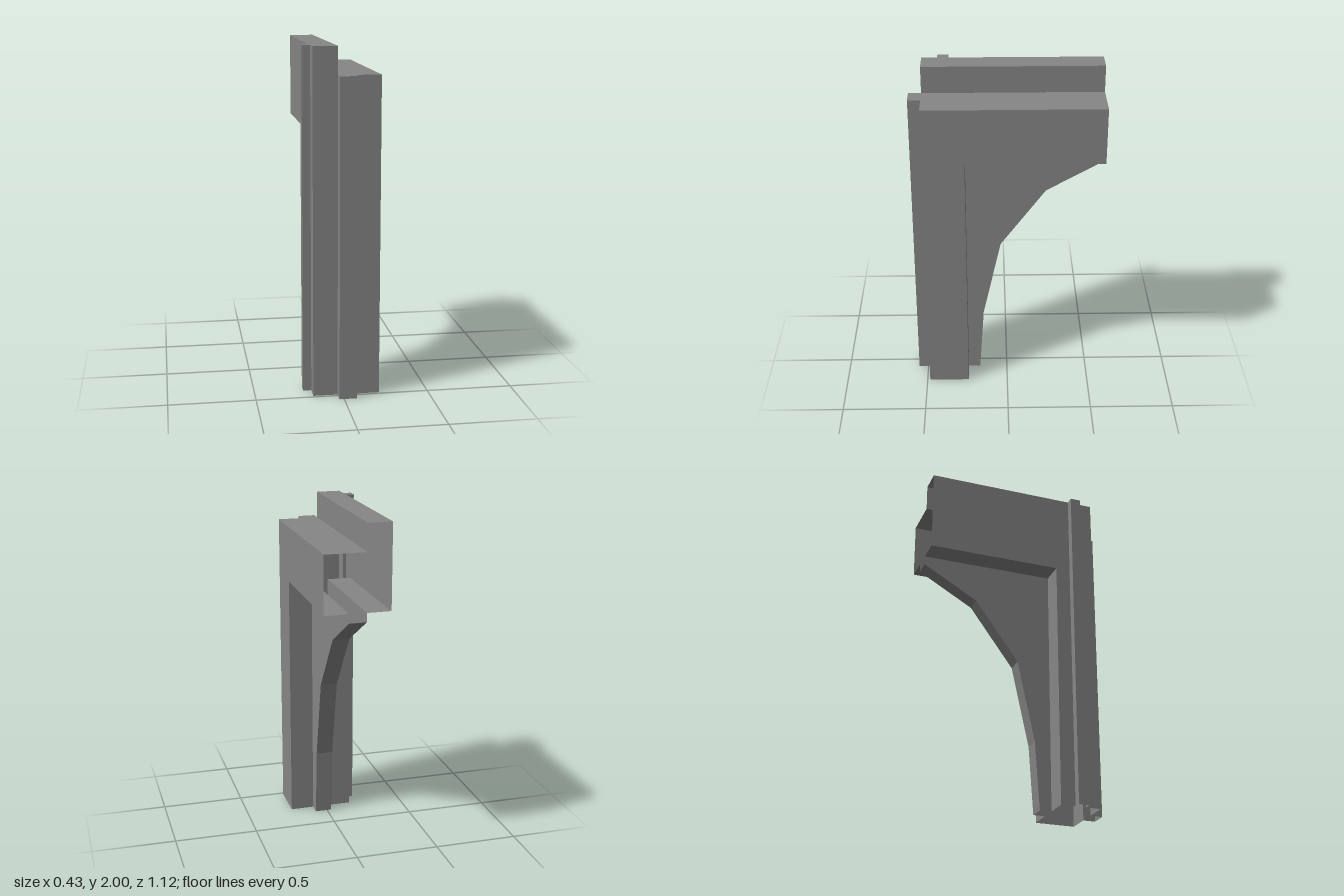
import * as THREE from 'three';

// Hollow half-arch frame: sheet surfaces, open at the back end and at the foot
const material = new THREE.MeshStandardMaterial({ color: 0x868686, flatShading: true, side: THREE.DoubleSide });

const X = { left: 0.216, ribL: 0.074, ribR: -0.027, right: -0.168, lip: -0.216 };
const Z = { back: -0.558, inner: 0.242, front: 0.484, rib: 0.558, lipBack: 0.33, lipFront: 0.394 };
const Y = { soffit: 1.506, ledge: 1.842, top: 2 };

// Strip of flat quads between two matching polylines
function ribbon(name, a, b) {
  const pos = [];
  for (let i = 0; i < a.length - 1; i++) {
    pos.push(...a[i], ...b[i + 1], ...b[i], ...a[i], ...a[i + 1], ...b[i + 1]);
  }
  const geo = new THREE.BufferGeometry();
  geo.setAttribute('position', new THREE.Float32BufferAttribute(pos, 3));
  geo.computeVertexNormals();
  const mesh = new THREE.Mesh(geo, material);
  mesh.name = name;
  return mesh;
}

// Vertical walls following a plan path of [x, z]
const walls = (name, path, top) =>
  ribbon(name, path.map(([x, z]) => [x, top, z]), path.map(([x, z]) => [x, 0, z]));

// Surfaces swept along z from a section of [x, y]
const sweep = (name, section, z0, z1) =>
  ribbon(name, section.map(([x, y]) => [x, y, z0]), section.map(([x, y]) => [x, y, z1]));

// Flat sheet in the z-y plane, facing the given side
function sideSheet(name, profile, x, side) {
  const shape = new THREE.Shape(profile.map(([z, y]) => new THREE.Vector2(-side * z, y)));
  const geo = new THREE.ShapeGeometry(shape);
  geo.rotateY(side * Math.PI / 2);
  geo.translate(x, 0, 0);
  const mesh = new THREE.Mesh(geo, material);
  mesh.name = name;
  return mesh;
}

export function createModel() {
  const model = new THREE.Group();
  model.name = 'halfArchFrame';

  // Post: inner faces, left half with front rib, right half with side lip
  model.add(
    walls('postInnerLeft', [[X.ribL, Z.inner], [X.left, Z.inner]], Y.soffit),
    walls('postInnerRight', [[X.right, Z.inner], [X.ribR, Z.inner]], Y.soffit),
    walls('postLeftAndFrontRib', [
      [X.left, Z.inner], [X.left, Z.front], [X.ribL, Z.front],
      [X.ribL, Z.rib], [X.ribR, Z.rib], [X.ribR, Z.front],
    ], Y.ledge),
    walls('postRightAndSideLip', [
      [X.ribR, Z.front], [X.right, Z.front], [X.right, Z.lipFront], [X.lip, Z.lipFront],
      [X.lip, Z.lipBack], [X.right, Z.lipBack], [X.right, Z.inner],
    ], Y.top),
  );

  // Beam with stepped top
  const stepped = [[X.left, Y.ledge], [X.ribR, Y.ledge], [X.ribR, Y.top], [X.right, Y.top]];
  model.add(
    sweep('beam', [
      [X.ribL, Y.soffit], [X.left, Y.soffit], ...stepped,
      [X.right, Y.soffit], [X.ribR, Y.soffit],
    ], Z.back, Z.inner),
    sweep('postTop', stepped, Z.inner, Z.front),
    sweep('frontRibCap', [[X.ribL, Y.ledge], [X.ribR, Y.ledge]], Z.front, Z.rib),
    sweep('sideLipCap', [[X.right, Y.top], [X.lip, Y.top]], Z.lipBack, Z.lipFront),
  );

  // Arch web: two side sheets and the faceted underside
  const arch = [[Z.back, 1.453], [-0.228, 1.265], [0.038, 0.903], [0.144, 0.41], [0.17, 0]];
  const web = [...arch, [Z.inner, 0], [Z.inner, Y.soffit], [Z.back, Y.soffit]];
  model.add(
    sideSheet('archWebLeft', web, X.ribL, 1),
    sideSheet('archWebRight', web, X.ribR, -1),
    ribbon('archUnderside', arch.map(([z, y]) => [X.ribL, y, z]), arch.map(([z, y]) => [X.ribR, y, z])),
  );
  return model;
}
